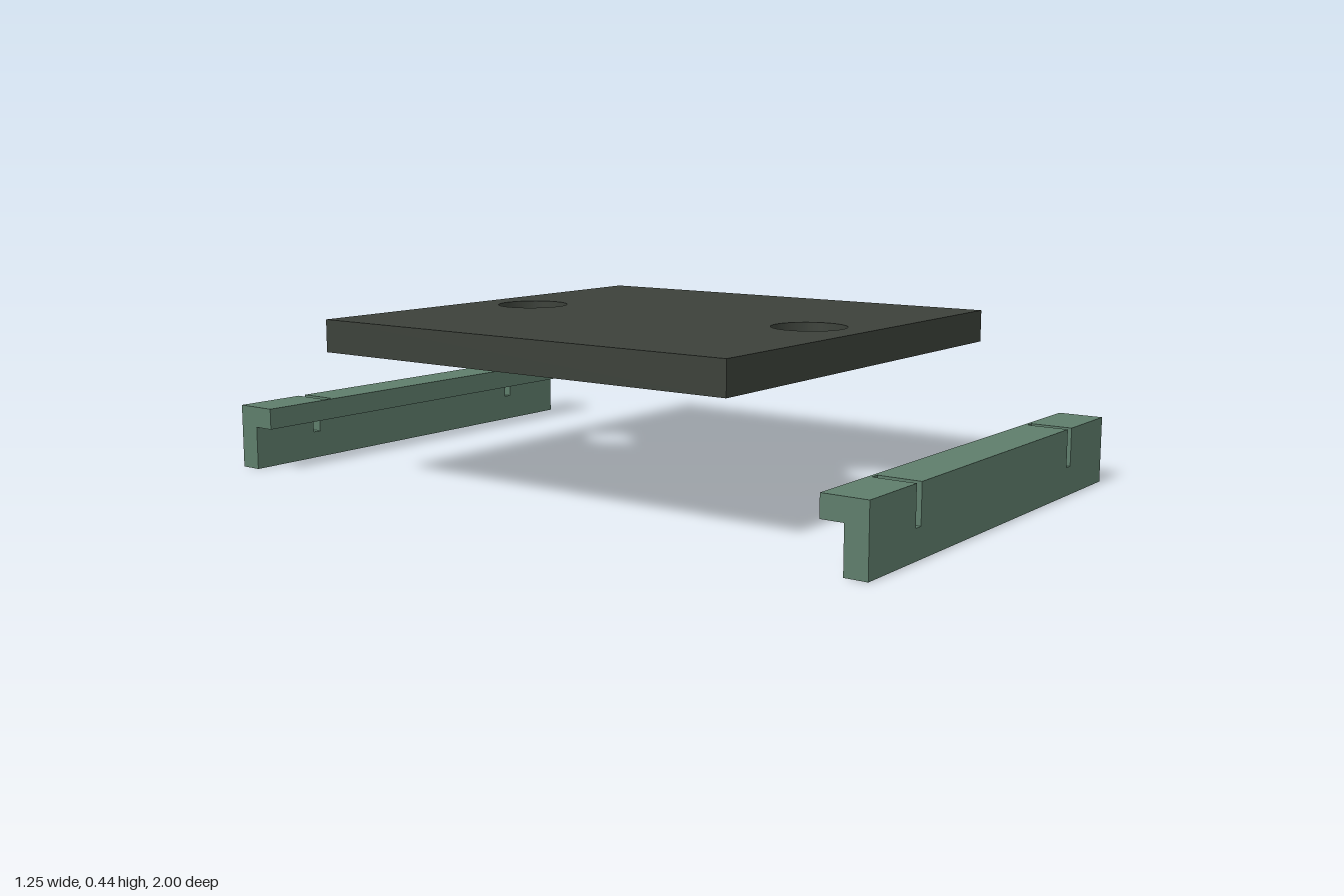
import * as THREE from 'three';

const HALF_LENGTH = 0.623;
const SLOT_INNER = 0.395, SLOT_OUTER = 0.419;

// Cross-sections as [z, y] points
const ANGLE = [[0.94, 0], [1, 0], [1, 0.175], [0.88, 0.175], [0.88, 0.118], [0.94, 0.118]];
const SLOT_FLOOR = [[0.94, 0], [1, 0], [1, 0.075], [0.94, 0.075]];
const SLOT_LIP = [[0.88, 0.118], [0.89, 0.118], [0.89, 0.175], [0.88, 0.175]];

// Extrudes a [z, y] cross-section along x from x0 to x1
function barBetween(points, x0, x1, material, name) {
  const shape = new THREE.Shape(points.map(([z, y]) => new THREE.Vector2(z, y)));
  const geometry = new THREE.ExtrudeGeometry(shape, { depth: x1 - x0, bevelEnabled: false });
  geometry.rotateY(-Math.PI / 2).translate(x1, 0, 0);
  const mesh = new THREE.Mesh(geometry, material);
  mesh.name = name;
  return mesh;
}

// L-section rail with two narrow slots
function createRail(material, name) {
  const rail = new THREE.Group();
  rail.name = name;
  rail.add(barBetween(ANGLE, -SLOT_INNER, SLOT_INNER, material, 'railMiddle'));
  for (const side of [-1, 1]) {
    const span = (a, b) => (side > 0 ? [a, b] : [-b, -a]);
    rail.add(
      barBetween(ANGLE, ...span(SLOT_OUTER, HALF_LENGTH), material, 'railEnd'),
      barBetween(SLOT_FLOOR, ...span(SLOT_INNER, SLOT_OUTER), material, 'slotFloor'),
      barBetween(SLOT_LIP, ...span(SLOT_INNER, SLOT_OUTER), material, 'slotLip')
    );
  }
  return rail;
}

// Flat plate with two round through-holes
function createPlate(material) {
  const w = HALF_LENGTH, d = 0.64;
  const shape = new THREE.Shape();
  shape.moveTo(-w, -d).lineTo(w, -d).lineTo(w, d).lineTo(-w, d).closePath();
  for (const z of [-0.465, 0.465]) {
    shape.holes.push(new THREE.Path().absarc(0, z, 0.098, 0, Math.PI * 2, true));
  }
  const geometry = new THREE.ExtrudeGeometry(shape, { depth: 0.087, bevelEnabled: false, curveSegments: 48 });
  geometry.rotateX(-Math.PI / 2).translate(0, 0.352, 0);
  const plate = new THREE.Mesh(geometry, material);
  plate.name = 'plate';
  return plate;
}

export function createModel() {
  const darkPlate = new THREE.MeshStandardMaterial({ color: 0x3c413a });
  darkPlate.name = 'dark plate';
  const greenRail = new THREE.MeshStandardMaterial({ color: 0x5e7d6b });
  greenRail.name = 'green rail';

  const model = new THREE.Group();
  model.name = 'plateAndRails';
  const backRail = createRail(greenRail, 'backRail');
  backRail.rotation.y = Math.PI;
  model.add(createPlate(darkPlate), createRail(greenRail, 'frontRail'), backRail);
  return model;
}
